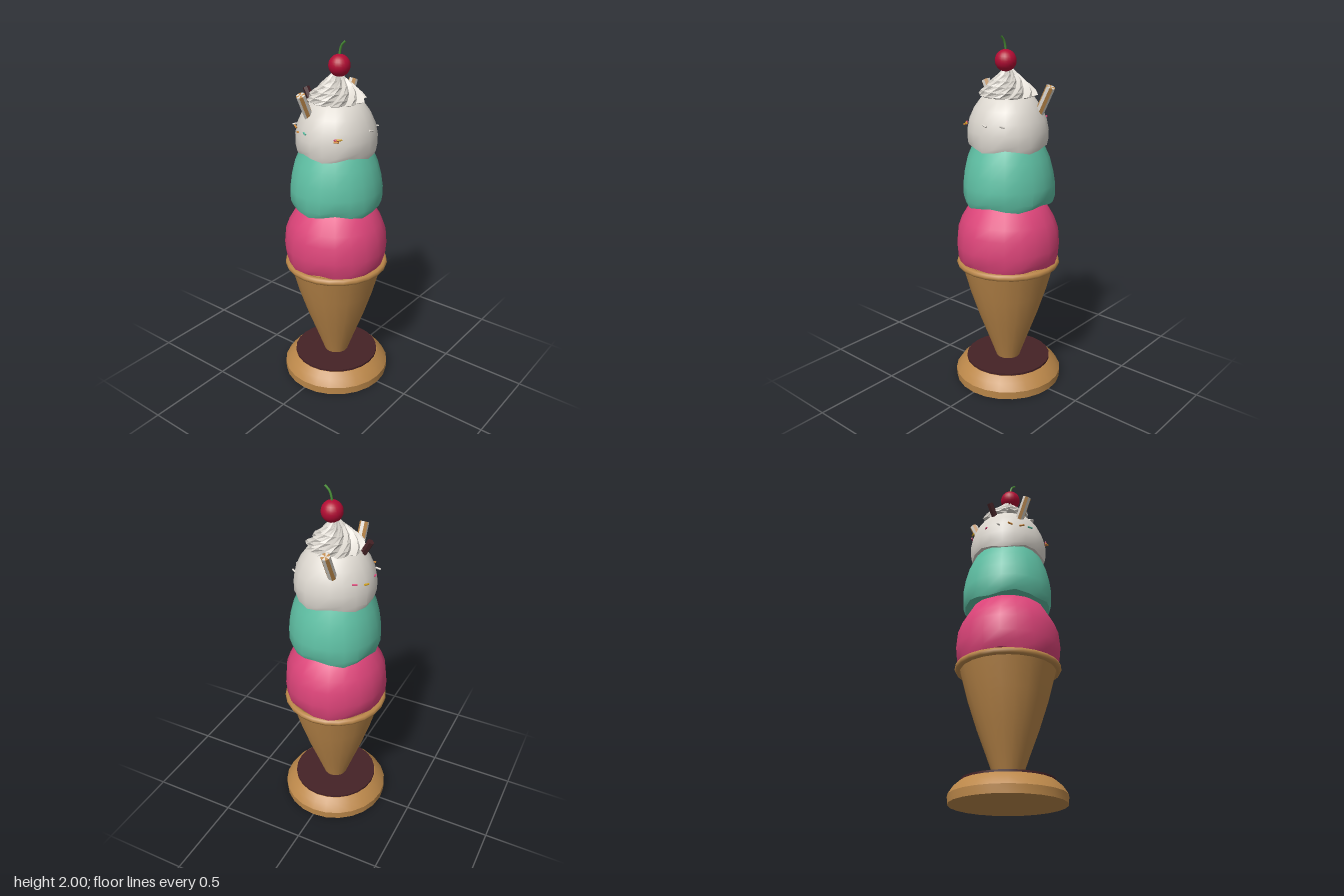
import * as THREE from 'three';
import { toCreasedNormals } from 'three/addons/utils/BufferGeometryUtils.js';

const mat = (name, color, side = THREE.FrontSide) => {
  const m = new THREE.MeshStandardMaterial({ color, side });
  m.name = name;
  return m;
};

// Skin a stack of closed rings (bottom to top) of [x, y, z] points
function loft(rings, crease) {
  const n = rings[0].length, index = [];
  for (let i = 0; i < rings.length - 1; i++) {
    for (let j = 0; j < n; j++) {
      const a = i * n + j, b = i * n + (j + 1) % n;
      index.push(a, a + n, b, b, a + n, b + n);
    }
  }
  const geo = new THREE.BufferGeometry();
  geo.setAttribute('position', new THREE.Float32BufferAttribute(rings.flat(2), 3));
  geo.setIndex(index);
  geo.computeVertexNormals();
  return toCreasedNormals(geo, crease);
}

// Lumpy scoop: a [radius, y] profile, with a wavier skirt near the bottom
function scoopGeometry(profile, phase, lump) {
  const n = 20, y0 = profile[0][1], h = profile[profile.length - 1][1] - y0;
  const rings = profile.map(([r, y], i) => Array.from({ length: n }, (_, j) => {
    const a = (j / n) * Math.PI * 2, t = 1 - (y - y0) / h;
    const wave = Math.sin(3 * a + phase) * 0.6 + Math.sin(7 * a + phase * 2.3) * 0.4 * t;
    const rr = r * (1 + lump * wave * (0.4 + 0.6 * t));
    const dy = i === 1 || i === 2 ? 0.012 * Math.sin(5 * a + phase + i) : 0;
    return [Math.cos(a) * rr, y + dy, Math.sin(a) * rr];
  }));
  return loft(rings, 0.6);
}

// Whipped cream: star cross-sections that twist as they widen
function swirlGeometry() {
  const lobes = 10, steps = [[0.1, 1.665, 1.15], [0.163, 1.69, 1.2], [0.148, 1.713, 1.0],
    [0.118, 1.742, 0.72], [0.085, 1.77, 0.42], [0.052, 1.8, 0.15], [0.022, 1.83, 0], [0.001, 1.838, 0]];
  const shape = [[0, 0.76], [0.45, 0.93], [0.8, 1]];
  const rings = steps.map(([r, y, twist]) => {
    const ring = [];
    for (let k = 0; k < lobes; k++) {
      for (const [f, s] of shape) {
        const a = ((k + f) / lobes) * Math.PI * 2 + twist;
        ring.push([Math.cos(a) * r * s, y - (1 - s) * 0.04, Math.sin(a) * r * s]);
      }
    }
    return ring;
  });
  return loft(rings, 0.35);
}

// Striped wafer stick: alternate facets and end sectors
function waferGeometry(radius, length) {
  const n = 8;
  const geo = new THREE.CylinderGeometry(radius, radius, length, n, 1, false, -Math.PI / n);
  geo.clearGroups();
  for (let i = 0; i < n; i++) geo.addGroup(i * 6, 6, i % 2);
  for (let i = 0; i < 2 * n; i++) geo.addGroup(n * 6 + i * 3, 3, i % 2);
  return toCreasedNormals(geo, 0.5);
}

export function createModel() {
  const group = new THREE.Group();
  group.name = 'iceCreamCone';

  const wafer = mat('wafer tan', 0xbc884a);
  const pink = mat('strawberry pink', 0xdc4479);
  const mint = mat('mint green', 0x5fc0a4);
  const cream = mat('vanilla cream', 0xdcd7cf);
  const chocolate = mat('dark chocolate', 0x452226);
  const red = mat('cherry red', 0xb30c34);
  const green = mat('stem green', 0x4a8f38);
  const yellow = mat('sprinkle yellow', 0xdca820);
  const orange = mat('sprinkle orange', 0xd28a3a);

  const add = (name, geo, material, x = 0, y = 0, z = 0) => {
    const mesh = new THREE.Mesh(geo, material);
    mesh.name = name;
    mesh.position.set(x, y, z);
    group.add(mesh);
    return mesh;
  };
  const lathe = (pts, n, crease) => toCreasedNormals(
    new THREE.LatheGeometry(pts.map(([r, y]) => new THREE.Vector2(r, y)), n), crease);

  // Stand with a chocolate top
  add('base', lathe([[0.001, 0], [0.31, 0], [0.312, 0.045], [0.285, 0.085], [0.25, 0.115], [0.001, 0.115]], 24, 0.5), wafer);
  add('baseTop', toCreasedNormals(new THREE.CylinderGeometry(0.247, 0.247, 0.016, 24), 0.5), chocolate, 0, 0.119, 0);

  // Cone and rolled rim
  add('cone', lathe([[0.068, 0.12], [0.08, 0.155], [0.118, 0.26], [0.17, 0.4], [0.222, 0.56], [0.265, 0.72], [0.001, 0.74]], 20, 0.6), wafer);
  const rim = new THREE.TorusGeometry(0.275, 0.02, 8, 24);
  rim.rotateX(Math.PI / 2);
  add('rim', rim, wafer, 0, 0.735, 0);

  // Three stacked scoops
  add('lowerScoop', scoopGeometry([[0.001, 0.748], [0.272, 0.75], [0.287, 0.79], [0.292, 0.85],
    [0.284, 0.94], [0.262, 1.0], [0.205, 1.095], [0.12, 1.14], [0.001, 1.16]], 0.6, 0.025), pink);
  add('middleScoop', scoopGeometry([[0.001, 1.1], [0.242, 1.1], [0.255, 1.135], [0.256, 1.2],
    [0.246, 1.27], [0.226, 1.35], [0.195, 1.42], [0.1, 1.46], [0.001, 1.47]], 2.1, 0.03), mint);
  add('upperScoop', scoopGeometry([[0.001, 1.412], [0.213, 1.412], [0.221, 1.44], [0.222, 1.5],
    [0.21, 1.56], [0.183, 1.62], [0.145, 1.672], [0.08, 1.71], [0.001, 1.725]], 4.0, 0.022), cream);

  // Whipped cream and cherry
  add('whippedCream', swirlGeometry(), cream);
  add('cherry', new THREE.SphereGeometry(0.058, 20, 14), red, 0.02, 1.868, 0);
  const stemPath = new THREE.CatmullRomCurve3([[0.02, 1.915, 0], [0.024, 1.945, 0], [0.036, 1.975, 0], [0.06, 1.996, 0]]
    .map(p => new THREE.Vector3(...p)));
  add('cherryStem', new THREE.TubeGeometry(stemPath, 6, 0.006, 6), green);

  // Wafer sticks, front and back
  const tilt = 0.47, length = 0.2;
  for (const [name, s, tip] of [['frontWafer', 1, 0.217], ['backWafer', -1, -0.237]]) {
    const stick = add(name, waferGeometry(0.025, length), [wafer, cream].reverse(),
      -0.062, 1.742 - Math.cos(tilt) * length / 2, tip - s * Math.sin(tilt) * length / 2);
    stick.rotation.x = s * tilt;
  }

  // Chocolate stick leaning to the side
  const bar = add('chocolateStick', toCreasedNormals(new THREE.CylinderGeometry(0.019, 0.019, 0.14, 6), 0.5),
    chocolate, -0.148, 1.67, 0.03);
  bar.rotation.z = 0.5;

  // Sprinkles: material, x, y, z, yaw
  const sprinkleGeo = toCreasedNormals(new THREE.CylinderGeometry(0.005, 0.005, 0.028, 6), 0.6);
  [
    [pink, -0.17, 1.56, -0.13, 0.5], [yellow, -0.213, 1.55, -0.08, 1.1],
    [pink, -0.208, 1.545, 0.025, 1.2], [cream, -0.193, 1.545, 0.112, 0.3],
    [orange, -0.147, 1.55, 0.162, -0.5], [orange, -0.096, 1.54, 0.205, -0.7],
    [mint, -0.04, 1.545, 0.218, -0.5], [yellow, 0.15, 1.535, 0.17, 0.9],
    [orange, 0.141, 1.525, 0.184, 0.1], [pink, 0.138, 1.533, 0.178, 0.7],
    [cream, 0.184, 1.55, -0.115, -0.5], [cream, 0.214, 1.55, -0.02, 1.5],
  ].forEach(([m, x, y, z, yaw], i) => {
    const s = add('sprinkle' + (i + 1), sprinkleGeo, m, x, y, z);
    s.rotation.set(0, yaw, Math.PI / 2 + 0.3 * Math.sin(i * 2.7));
  });

  return group;
}
